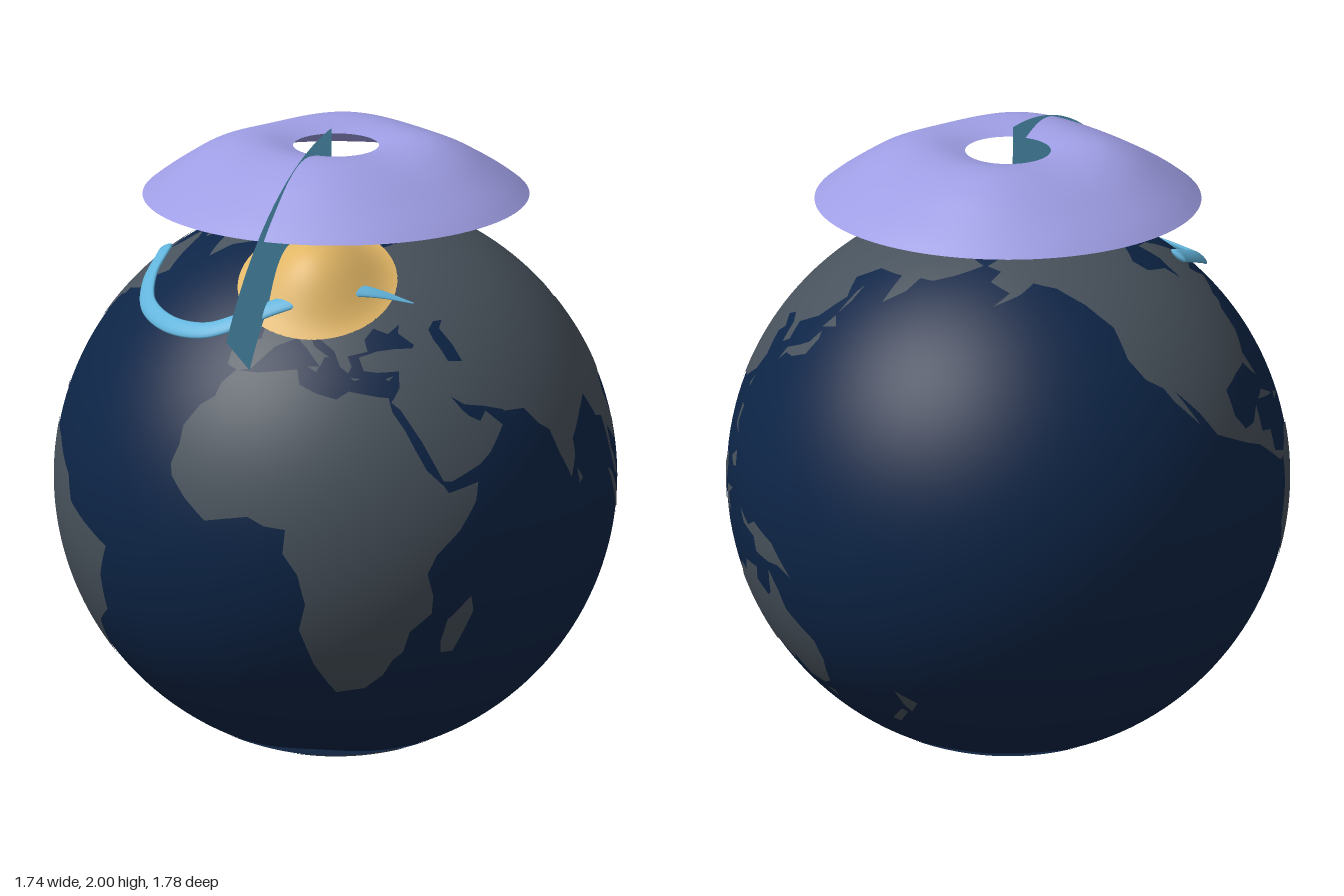
import * as THREE from 'three';

const R = 0.872, DEG = Math.PI / 180;
const mat = (name, color, side = THREE.FrontSide) => {
  const m = new THREE.MeshStandardMaterial({ color, side });
  m.name = name;
  return m;
};

// Point on a sphere: longitude 0 faces +z, east runs towards +x
const onSphere = (lon, lat, r) => new THREE.Vector3(
  Math.cos(lat * DEG) * Math.sin(lon * DEG), Math.sin(lat * DEG),
  Math.cos(lat * DEG) * Math.cos(lon * DEG)).multiplyScalar(r);

// Coast outlines as longitude, latitude pairs
const LAND = {
  africa: [-6,36, 0,36, 10,37.3, 11,34, 15,32.3, 20,31, 23,32.7, 30,31.3, 32.5,31, 33,28, 35.5,24, 37.3,20,
    39.5,15.5, 43,12, 44,10.5, 51,12, 50,8, 46,2.5, 41,-2, 39,-6, 40.5,-11, 40.5,-15, 36,-19, 35,-24, 32.8,-26,
    31,-30, 27,-33.7, 20,-34.8, 18,-32, 15,-27, 12,-18, 13.5,-12, 12,-5.5, 9,-1, 9.5,4, 5,4.5, 1.5,6.2, -4,5.2,
    -8,4.4, -13,8.5, -16.7,12.5, -17.3,15, -16,19, -16,23, -13,27.7, -9.7,30, -9,33],
  europe: [-5.5,36, -2,36.8, 0,39, 3,42, 6,43.2, 9,44.3, 12,42, 15.8,38, 17,40.3, 18.4,40, 14,42.5, 12.5,45.5,
    15,44.5, 19.5,41.5, 21,38, 23,36.6, 24,38, 23,40.3, 27,41, 28.5,41.2, 28,44, 31,46.5, 35,45, 39,47, 38,45,
    42,41.8, 48,42, 47.5,45, 50,46.8, 53,46.8, 60,50, 60,69, 45,68, 40,65, 41,67, 33,69.3, 26,71, 18,69.5, 13,66,
    10,63.5, 5,62, 6,58, 10,59, 12,56, 14.5,55.5, 17,58, 18,60.5, 22,65.7, 25,65, 21.5,62.5, 22.5,60, 30,60,
    24,59, 21,55, 14,54, 11,54, 10.5,57.5, 8,56.5, 8.5,54, 4,52, 1.5,50.5, -4.7,48.4, -1.3,46, -1.5,43.4, -9,43.3, -8.8,37],
  middleEast: [26,40, 27,37, 30.5,36.5, 36,36.5, 35.5,33, 34,31, 33,30, 35,28.3, 39,21.5, 43,13, 45,12.8, 52,15.5,
    55,17.5, 59.7,22.5, 56,26, 54,24.1, 51.5,25.5, 50,27, 48,30, 51,28, 56,27, 62,25.2, 62,37, 54,37, 50,37.5,
    49,40.5, 48,42.5, 42,42.2, 41,41.3, 36,41.5, 31,41.2],
  asia: [61,25.2, 67,24.7, 70,21, 73,19, 74.5,14, 77.5,8, 80,12, 80.5,15.5, 86.5,20, 91,22.5, 94,17, 97.5,16,
    98.5,9, 101,3.5, 104,1.4, 103,5, 100,8.5, 100,13.3, 105,9, 109,12, 106,19, 108,21.5, 114,22.5, 120,26, 122,30,
    119.5,35, 122,37, 118,39, 121.5,40.5, 125,39, 126.5,34.5, 129.3,36, 128,40, 135,43.5, 140,50, 135,54.5, 142,59,
    155,59.3, 156,52, 162,56, 164,60, 170,60, 179,62.5, 190,66, 180,69, 160,69.7, 140,72.5, 128,72, 113,74,
    104,77.5, 87,75, 80,72.5, 70,73, 68,69, 58,69, 58,50, 53,46.8, 51,45, 53,41, 54,37, 61,36],
  northAmerica: [-168,66, -156,71, -141,69.7, -128,70, -115,68, -96,68, -94,72, -85,69.5, -82,67, -87,64, -94,60.5,
    -92,57, -82,55, -80,51.3, -79,54.5, -77,57, -78,62, -70,61, -65,58.5, -61,56, -56,52.5, -60,50, -66,50,
    -65,48.5, -61,46, -66,44.5, -70,43.5, -70.5,41.7, -74,40.5, -76,35.5, -81,31.5, -80,26, -82,27.5, -84,30,
    -90,29.3, -97,27.5, -97.5,22, -95,18.5, -91,18.7, -87,21.4, -88,16, -83.5,15, -83.5,10.5, -80,9.3, -77.3,8.5,
    -78,7.5, -81,7.6, -85.5,10.5, -91,14, -96,15.8, -105.5,20, -109,25.5, -114,31.3, -109.7,23, -115,29,
    -117,32.5, -121,35, -124,40, -124,47.5, -130,54, -138,59, -147,61, -153,58, -163,55, -157,58.5, -165,61.5, -161,64.5],
  southAmerica: [-77,8.5, -72,12, -62,10.5, -52,5, -50,0, -44,-2.5, -35.2,-6, -39,-13, -40.5,-21.5, -48,-26,
    -53.5,-34, -57,-38, -62,-39, -65,-43, -66,-47, -69,-52, -65.5,-55, -72,-54, -75.5,-48, -73,-38, -71,-30,
    -70.3,-18.5, -76,-14, -81,-6, -80,-2, -78.5,2, -78,7.5],
  australia: [114,-22, 114,-26, 115.7,-32, 115,-34.3, 118,-35, 124,-33, 131,-31.5, 136,-35, 138,-33, 140,-38,
    146,-39, 150,-37.3, 153.3,-30, 153,-25, 146,-19, 145,-15, 142.5,-10.8, 141,-16.5, 139.5,-17.5, 135.5,-15,
    137,-12, 131,-12, 129,-15, 126,-14, 122,-18],
  antarctica: [-180,-90, -180,-78, -160,-78, -150,-76, -130,-74, -100,-73, -75,-73, -68,-67, -58,-63.5, -61,-70,
    -62,-75, -45,-78, -30,-77, -15,-72, 0,-70, 30,-69, 50,-66.5, 70,-69, 90,-66.5, 110,-66, 135,-66.3, 150,-68.5,
    170,-72, 165,-78, 180,-78, 180,-90],
  greenland: [-73,78, -60,76, -54,71, -53,66, -44,60, -40,65, -24,70, -19,76, -20,81, -32,83.3, -60,82],
  baffin: [-80,73.5, -72,71, -62,66.5, -65,62.5, -72,64, -73,68, -88,70.5],
  ellesmere: [-90,80, -65,83, -70,79, -78,76, -90,76.5],
  victoria: [-117,73, -105,73, -103,69, -115,69.3],
  iceland: [-24,65.5, -16,66.4, -14,65, -19,63.4, -22.5,64],
  britain: [-5.5,50.2, 1.3,51.2, 1.5,52.8, -2,56, -3,58.6, -5.5,57.5, -3,54, -4.8,52],
  ireland: [-10,52, -6.3,52.3, -6,55, -9,54.2],
  madagascar: [44,-25, 47,-25, 50.3,-15.5, 49.3,-12, 44.3,-17, 43.5,-22],
  sriLanka: [80,9.5, 81.8,7, 80.3,6],
  sumatra: [95.3,5.6, 98,4.2, 104,-1.5, 106,-5.8, 103,-4.5, 99,0.5],
  java: [105.3,-6.5, 114.5,-7.5, 114.3,-8.7, 106.5,-7.5],
  borneo: [109.2,1.5, 113,3.2, 117,7, 119,5, 117.5,0.5, 116,-4, 111,-3, 109.3,-0.5],
  sulawesi: [119,-5.5, 119.8,0.7, 125,1.5, 121,-0.8, 123,-4.5, 121,-3.5, 120.4,-5.5],
  newGuinea: [131,-0.8, 135,-3.2, 138,-1.7, 145,-4.3, 150.5,-10.5, 146.5,-8.8, 143,-9, 138,-8.2, 137.5,-5, 132.5,-3.5],
  luzon: [120.5,18.5, 122.2,18.3, 121.7,14.5, 124,12.7, 120.5,14],
  mindanao: [122,7.5, 125.5,9.7, 126.3,6.5, 124,6],
  taiwan: [120.2,23, 121.8,25.2, 120.9,22],
  honshu: [130,31.3, 132,33.5, 135.5,33.6, 140.5,35.5, 142,39.5, 141,41.3, 139,38, 136,36.5, 131,34.5],
  hokkaido: [140,42, 145.3,43.3, 142,45.5],
  sakhalin: [142,46, 143.5,49.5, 143,54, 142,52],
  tasmania: [144.8,-40.8, 148.2,-41, 147,-43.5],
  newZealandNorth: [173,-34.7, 178.3,-37.8, 175.3,-41.5, 174,-39],
  newZealandSouth: [172.7,-40.7, 174,-41.8, 169,-46.6, 166.7,-45.8],
  cuba: [-84.8,22, -81,23.1, -74.5,20.2, -78,20.7],
  hispaniola: [-74,18.5, -72.5,19.9, -68.5,18.5],
  novayaZemlya: [52,71, 57,70.7, 58,74, 68,76.7, 60,76],
  svalbard: [11,79.5, 25,80, 17,76.7],
  sicily: [12.5,38, 15.5,38.1, 15,36.8],
  crete: [23.5,35.6, 26.2,35.3, 24.5,34.9],
  cyprus: [32.3,35, 34.5,35.6, 33,34.6],
};

// Flat outline, split until fine, then wrapped onto the sphere
function spherePatch(outline, r) {
  const pts = [];
  for (let i = 0; i < outline.length; i += 2) pts.push(new THREE.Vector2(outline[i], outline[i + 1]));
  const flat = new THREE.ShapeGeometry(new THREE.Shape(pts)).toNonIndexed().attributes.position;
  const pos = [], nor = [];
  const split = (a, b, c) => {
    const ab = a.distanceTo(b), bc = b.distanceTo(c), ca = c.distanceTo(a), longest = Math.max(ab, bc, ca);
    if (longest < ab + 1e-9 && longest > 3) {
      const m = a.clone().lerp(b, 0.5);
      split(a, m, c);
      split(m, b, c);
    } else if (longest > 3) split(b, c, a);
    else for (const p of [a, b, c]) {
      const n = onSphere(p.x, p.y, 1);
      nor.push(n.x, n.y, n.z);
      pos.push(n.x * r, n.y * r, n.z * r);
    }
  };
  const at = i => new THREE.Vector2(flat.getX(i), flat.getY(i));
  for (let i = 0; i < flat.count; i += 3) split(at(i), at(i + 1), at(i + 2));
  const g = new THREE.BufferGeometry();
  g.setAttribute('position', new THREE.Float32BufferAttribute(pos, 3));
  g.setAttribute('normal', new THREE.Float32BufferAttribute(nor, 3));
  return g;
}

// Sea ice reaching from a pole to a wavy edge
function iceOutline(pole, edge) {
  const o = [-180, pole];
  for (let lon = -180; lon <= 180; lon += 6) o.push(lon, edge(lon * DEG));
  return [...o, 180, pole];
}

// Flat, oval-section stream lying on the sphere, tapering at its east end
function streamGeometry(path, halfWidth, halfThick) {
  const N = 90, M = 14, pos = [], idx = [];
  for (let i = -1; i <= N + 1; i++) {
    const t = Math.min(Math.max(i / N, 0), 1), p = path.getPointAt(t);
    const n = p.clone().normalize(), side = path.getTangentAt(t).cross(n).normalize();
    const s = i < 0 || i > N ? 0 : Math.min(1, 0.08 + (1 - t) * 6);
    for (let j = 0; j < M; j++) {
      const a = j / M * 2 * Math.PI;
      const v = p.clone().addScaledVector(side, Math.cos(a) * halfWidth * s).addScaledVector(n, Math.sin(a) * halfThick * s);
      pos.push(v.x, v.y, v.z);
      if (i > N) continue;
      const row = (i + 1) * M, k = (j + 1) % M;
      idx.push(row + j, row + k, row + M + j, row + k, row + M + k, row + M + j);
    }
  }
  const g = new THREE.BufferGeometry();
  g.setAttribute('position', new THREE.Float32BufferAttribute(pos, 3));
  g.setIndex(idx);
  g.computeVertexNormals();
  return g;
}

export function createModel() {
  const model = new THREE.Group();
  model.name = 'globeWithPolarCap';
  model.position.set(0, 0.876, -0.018);
  const ocean = mat('ocean navy', 0x0d2547), land = mat('land grey', 0x48525c), ice = mat('ice blue', 0x2b4f86);
  const purple = mat('cap lavender', 0x9e9de4, THREE.DoubleSide), gold = mat('dome gold', 0xe0b565, THREE.DoubleSide);
  const blue = mat('stream blue', 0x62b4dc, THREE.DoubleSide);
  const add = (name, geometry, material, parent = model) => {
    const m = new THREE.Mesh(geometry, material);
    m.name = name;
    parent.add(m);
    return m;
  };

  // Globe
  add('ocean', new THREE.SphereGeometry(R, 128, 80), ocean);
  add('arcticIce', spherePatch(iceOutline(90, a => 78.5 + 2.5 * Math.cos(a) + 0.6 * Math.sin(5 * a)), R + 0.0015), ice);
  add('antarcticIce', spherePatch(iceOutline(-90, a => -64 + 1.5 * Math.sin(a * 2 + 2) + 0.8 * Math.sin(a * 7)), R + 0.0015), ice);
  const continents = new THREE.Group();
  continents.name = 'continents';
  model.add(continents);
  for (const [name, outline] of Object.entries(LAND)) add(name, spherePatch(outline, R + 0.003), land, continents);

  // Thin polar cap with a round hole and gentle waves on its crown
  const profile = new THREE.SplineCurve([[0.6, 0.904], [0.55, 0.943], [0.48, 0.99], [0.4, 1.038], [0.32, 1.07],
    [0.25, 1.08], [0.19, 1.074], [0.133, 1.06]].map(p => new THREE.Vector2(...p)));
  const cap = new THREE.LatheGeometry(profile.getPoints(36), 96);
  const cp = cap.attributes.position;
  for (let i = 0; i < cp.count; i++) {
    const x = cp.getX(i), z = cp.getZ(i), r = Math.hypot(x, z);
    const bump = Math.sin(Math.PI * THREE.MathUtils.clamp((r - 0.133) / 0.467, 0, 1)) ** 2;
    cp.setY(i, cp.getY(i) + 0.009 * bump * Math.sin(4 * Math.atan2(x, z) + 0.6));
  }
  cap.computeVertexNormals();
  add('polarCap', cap, purple);

  // Bell-shaped dome swelling from the north
  const bell = [], spread = 16.5;
  for (let i = 0; i <= 24; i++) {
    const a = spread * (1 - i / 24), r = R + 0.003 + 0.097 * Math.cos(a / spread * Math.PI / 2) ** 2;
    bell.push(new THREE.Vector2(r * Math.sin(a * DEG), r * Math.cos(a * DEG)));
  }
  const dome = add('dome', new THREE.LatheGeometry(bell, 64), gold);
  dome.quaternion.setFromUnitVectors(new THREE.Vector3(0, 1, 0), onSphere(12, 60.5, 1));

  // Winding stream running through the dome
  const path = new THREE.CatmullRomCurve3([[-71, 54], [-56, 48.5], [-44, 44], [-29.6, 42], [-17.7, 42.8], [-9.2, 45.9],
    [0, 50], [9, 52.8], [18, 54.7], [26.5, 55], [34.5, 53.8], [45, 50.7]].map(([lon, lat]) => onSphere(lon, lat, 0.898)));
  add('stream', streamGeometry(path, 0.029, 0.01), blue);

  // Upright curved slice along a meridian
  const slice = new THREE.RingGeometry(0.886, 1.1245, 64, 1, 36 * DEG, 52 * DEG);
  slice.rotateY(-Math.PI / 2 - 2 * DEG);
  add('meridianSlice', slice, blue);
  return model;
}
